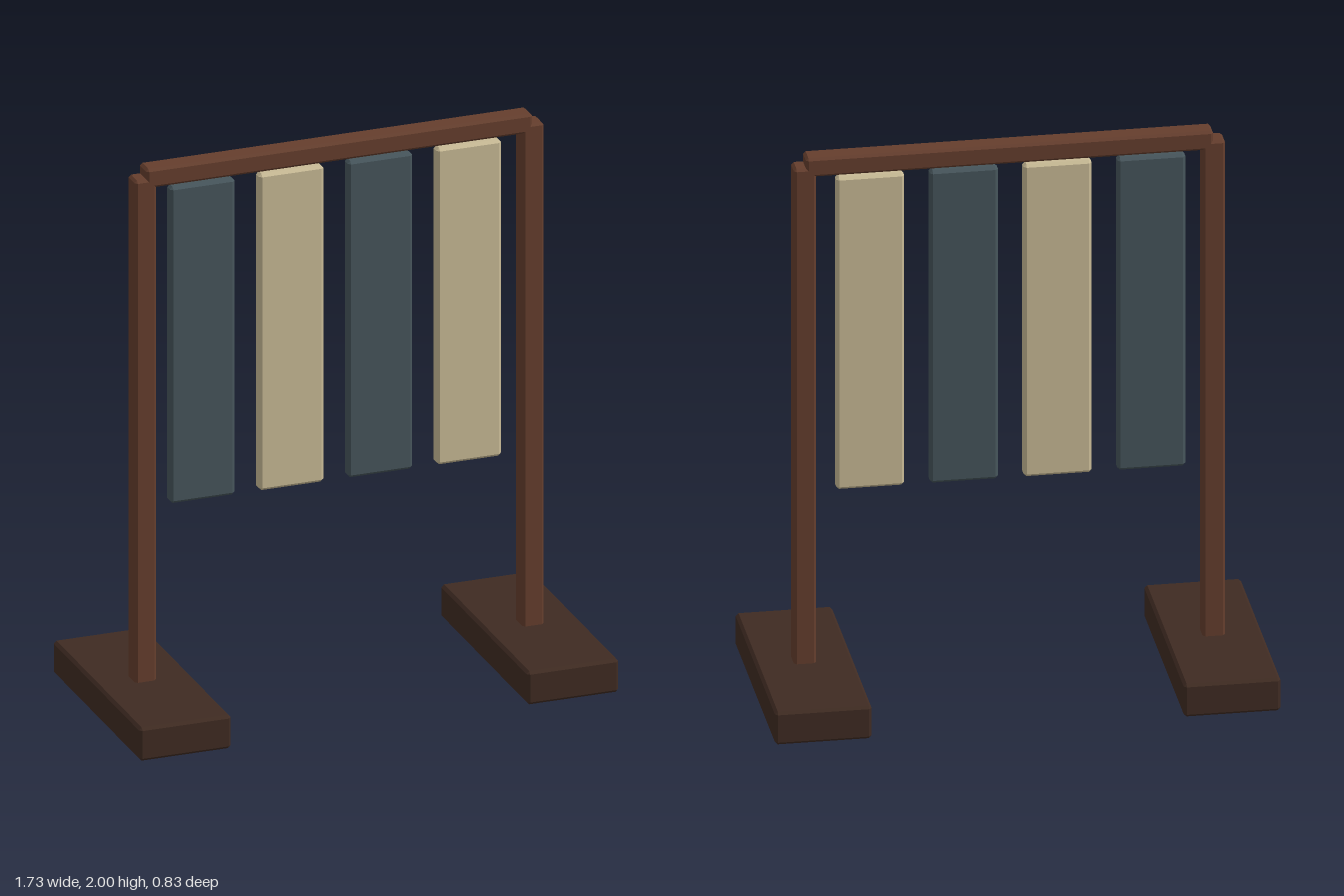
import * as THREE from 'three';
import { ConvexGeometry } from 'three/addons/geometries/ConvexGeometry.js';

function material(name, color) {
  const m = new THREE.MeshStandardMaterial({ color });
  m.name = name;
  return m;
}

// Box with all edges chamfered by c
function chamferBox(w, h, d, c) {
  const points = [];
  for (const x of [-1, 1]) for (const y of [-1, 1]) for (const z of [-1, 1]) {
    for (let face = 0; face < 3; face++) {
      const inset = [c, c, c];
      inset[face] = 0;
      points.push(new THREE.Vector3(
        x * (w / 2 - inset[0]), y * (h / 2 - inset[1]), z * (d / 2 - inset[2])));
    }
  }
  return new ConvexGeometry(points);
}

export function createModel() {
  const model = new THREE.Group();
  model.name = 'bannerFrame';

  const wood = material('warm brown wood', 0x653e2d);
  const darkWood = material('dark brown wood', 0x3f2b22);
  const slate = material('slate blue cloth', 0x46555b);
  const sand = material('sand cloth', 0xc8ba95);

  const add = (name, geometry, mat, x, y, z = 0) => {
    const mesh = new THREE.Mesh(geometry, mat);
    mesh.name = name;
    mesh.position.set(x, y, z);
    model.add(mesh);
  };

  // Feet and posts, one pair per side
  const foot = chamferBox(0.332, 0.122, 0.835, 0.01);
  const post = chamferBox(0.077, 1.96, 0.075, 0.009);
  for (const [side, s] of [['left', 1], ['right', -1]]) {
    add(side + 'Foot', foot, darkWood, s * 0.701, 0.064);
    add(side + 'Post', post, wood, s * 0.701, 0.983);
  }

  // Crossbar resting on the posts
  add('crossbar', chamferBox(1.397, 0.07, 0.075, 0.009), wood, 0, 1.965);

  // Four hanging panels in alternating colours
  const panel = chamferBox(0.234, 1.16, 0.045, 0.01);
  for (let i = 0; i < 4; i++) {
    add('hangingPanel' + (i + 1), panel, i % 2 ? sand : slate, -0.489 + i * 0.3213, 1.335);
  }

  return model;
}
